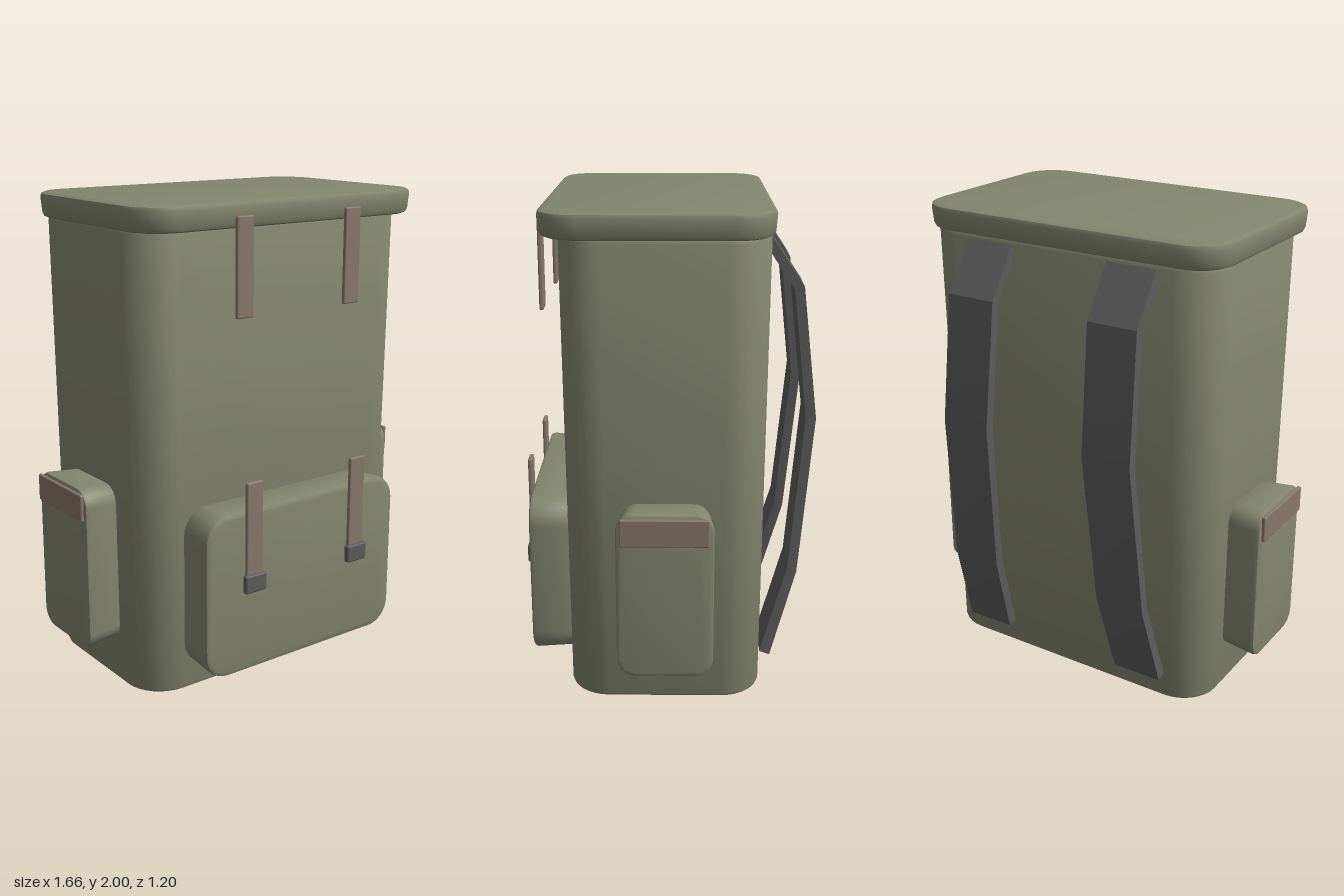
import * as THREE from 'three';
import { toCreasedNormals } from 'three/addons/utils/BufferGeometryUtils.js';
import { RoundedBoxGeometry } from 'three/addons/geometries/RoundedBoxGeometry.js';

const canvas = new THREE.MeshStandardMaterial({ color: 0x83866e });
const leather = new THREE.MeshStandardMaterial({ color: 0x88786a });
const webbing = new THREE.MeshStandardMaterial({ color: 0x5c5c5c });

// Rounded-rectangle outline centred on the origin
function roundedRect(w, h, r) {
  const s = new THREE.Shape();
  const x = w / 2, y = h / 2;
  s.absarc(x - r, y - r, r, 0, Math.PI / 2);
  s.absarc(r - x, y - r, r, Math.PI / 2, Math.PI);
  s.absarc(r - x, r - y, r, Math.PI, Math.PI * 1.5);
  s.absarc(x - r, r - y, r, Math.PI * 1.5, Math.PI * 2);
  s.closePath();
  return s;
}

// Bevelled slab from z = 0 to z = depth; w and h are measured at the far end,
// and the near end is narrower by draft on every side
function slab(w, h, depth, r, bevel, draft) {
  const geo = new THREE.ExtrudeGeometry(roundedRect(w - 2 * bevel, h - 2 * bevel, r - bevel), {
    depth: depth - 2 * bevel, curveSegments: 4,
    bevelEnabled: true, bevelSize: bevel, bevelThickness: bevel, bevelSegments: 2,
  });
  geo.translate(0, 0, bevel);
  const p = geo.attributes.position;
  for (let i = 0; i < p.count; i++) {
    const k = 2 * draft * (1 - p.getZ(i) / depth);
    p.setXY(i, p.getX(i) * (1 - k / w), p.getY(i) * (1 - k / h));
  }
  return toCreasedNormals(geo, 0.6);
}

// Shoulder strap: bent side profile, extruded sideways and drifting outward towards its foot
function shoulderStrapGeometry(side) {
  const width = 0.22;
  const profile = [
    [-0.40, 1.885], [-0.535, 1.685], [-0.597, 1.15], [-0.537, 0.49], [-0.432, 0.115],
    [-0.39, 0.13], [-0.498, 0.5], [-0.556, 1.15], [-0.498, 1.67], [-0.385, 1.84],
  ];
  const shape = new THREE.Shape(profile.map(([z, y]) => new THREE.Vector2(-z, y)));
  const geo = new THREE.ExtrudeGeometry(shape, { depth: width, bevelEnabled: false });
  geo.translate(0, 0, -width / 2).rotateY(Math.PI / 2);
  const p = geo.attributes.position;
  for (let i = 0; i < p.count; i++) {
    const t = (1.885 - p.getY(i)) / 1.77;
    p.setX(i, p.getX(i) + side * (0.333 + 0.06 * t * t));
  }
  return toCreasedNormals(geo, 0.3);
}

export function createModel() {
  const pack = new THREE.Group();
  pack.name = 'backpack';

  const add = (name, geo, material, x = 0, y = 0, z = 0) => {
    const mesh = new THREE.Mesh(geo, material);
    mesh.name = name;
    mesh.position.set(x, y, z);
    pack.add(mesh);
    return mesh;
  };
  const box = (w, h, d, r) => new RoundedBoxGeometry(w, h, d, 2, r);

  // Main bag and its overhanging lid
  add('body', slab(1.36, 0.815, 1.9, 0.17, 0.018, 0.015).rotateX(-Math.PI / 2), canvas, 0, 0.005, 0.008);
  add('lid', slab(1.404, 0.908, 0.102, 0.16, 0.02, 0.008).rotateX(-Math.PI / 2), canvas, 0, 1.898, 0.037);

  // Front pocket
  add('frontPocket', slab(1.0, 0.7, 0.19, 0.11, 0.02, 0.01), canvas, 0, 0.45, 0.38);

  for (const side of [-1, 1]) {
    const label = side > 0 ? 'left' : 'right';

    // Side pocket with its flap band
    add(label + 'SidePocket',
      slab(0.385, 0.695, 0.17, 0.075, 0.018, 0.014).rotateY(side * Math.PI / 2),
      canvas, side * 0.648, 0.53, 0.005);
    add(label + 'SideFlap', box(0.018, 0.112, 0.347, 0.006), leather, side * 0.822, 0.805, 0.007);

    // Closing straps on lid and front pocket, with buckle
    const x = side * 0.272;
    add(label + 'LidStrap', box(0.08, 0.39, 0.018, 0.006), leather, x, 1.754, 0.509);
    add(label + 'PocketStrap', box(0.08, 0.46, 0.018, 0.006), leather, x, 0.688, 0.579);
    add(label + 'Buckle', box(0.105, 0.077, 0.028, 0.009), webbing, x, 0.492, 0.587);

    // Shoulder strap
    add(label + 'ShoulderStrap', shoulderStrapGeometry(side), webbing);
  }

  return pack;
}
